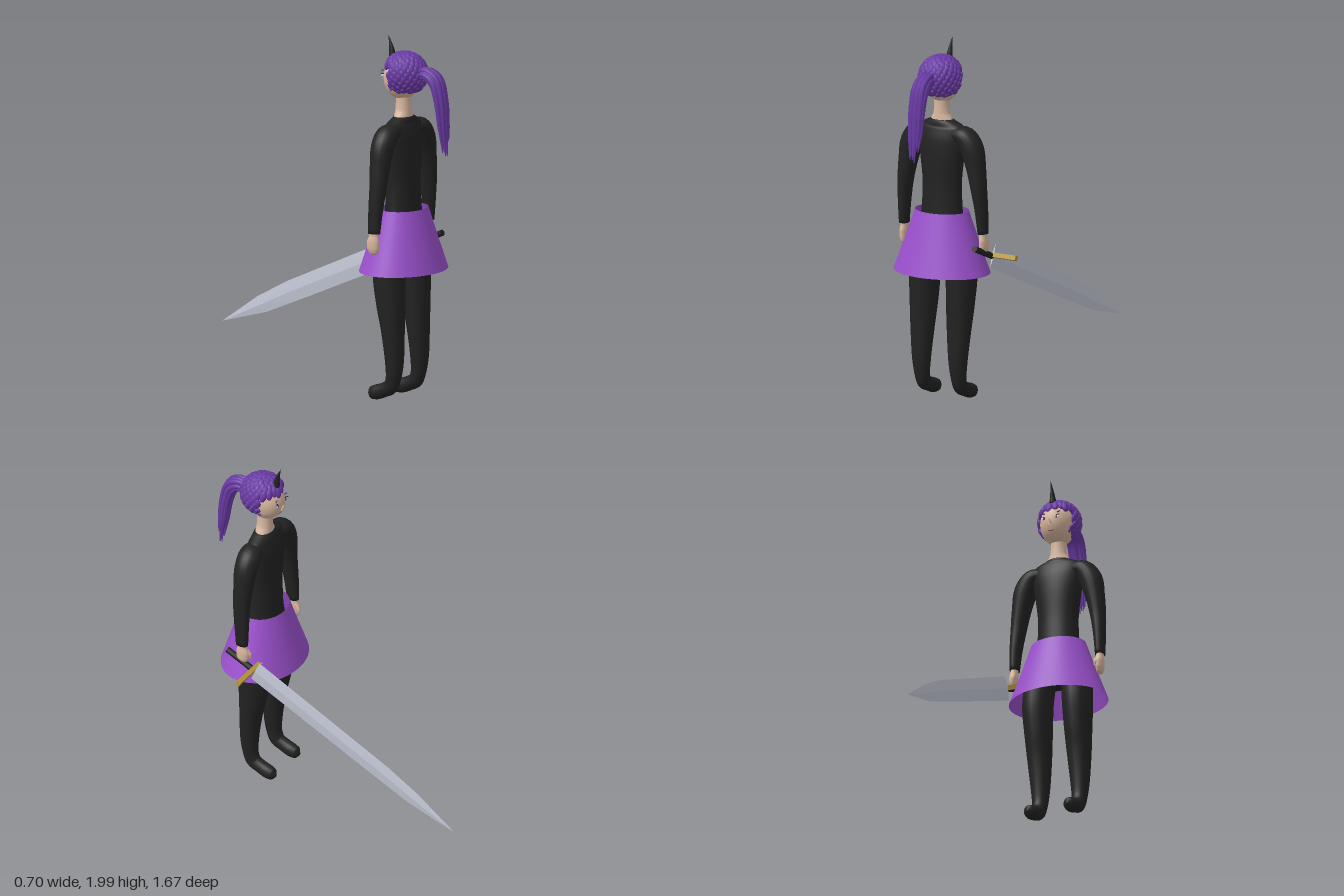
import * as THREE from 'three';
import { mergeGeometries } from 'three/addons/utils/BufferGeometryUtils.js';

const V = (x, y, z) => new THREE.Vector3(x, y, z);
const X = V(1, 0, 0), Z = V(0, 0, 1);

function material(name, color, side = THREE.FrontSide) {
  const m = new THREE.MeshStandardMaterial({ color, side });
  m.name = name;
  return m;
}

// Smooth closed sweep through sections [x, y, z, radius along axis, radius across]
function sweep(sections, axis, sides = 20, steps = 5) {
  const centre = new THREE.CatmullRomCurve3(sections.map(s => V(s[0], s[1], s[2])));
  const radii = new THREE.CatmullRomCurve3(sections.map(s => V(s[3], s[4], 0)));
  const n = (sections.length - 1) * steps;
  const pos = [], idx = [];
  for (let k = 0; k <= n; k++) {
    const p = centre.getPoint(k / n), r = radii.getPoint(k / n);
    const across = centre.getTangent(k / n).cross(axis).normalize();
    for (let j = 0; j < sides; j++) {
      const a = j / sides * Math.PI * 2;
      const q = p.clone().addScaledVector(axis, Math.cos(a) * r.x).addScaledVector(across, Math.sin(a) * r.y);
      pos.push(q.x, q.y, q.z);
    }
  }
  for (let k = 0; k < n; k++) for (let j = 0; j < sides; j++) {
    const j2 = (j + 1) % sides, a = k * sides, b = a + sides;
    idx.push(a + j, a + j2, b + j, a + j2, b + j2, b + j);
  }
  const c = (n + 1) * sides;
  pos.push(...centre.getPoint(0).toArray(), ...centre.getPoint(1).toArray());
  for (let j = 0; j < sides; j++) {
    const j2 = (j + 1) % sides;
    idx.push(c, j2, j, c + 1, n * sides + j, n * sides + j2);
  }
  const g = new THREE.BufferGeometry();
  g.setAttribute('position', new THREE.Float32BufferAttribute(pos, 3));
  g.setIndex(idx);
  g.computeVertexNormals();
  return g;
}

function ellipsoid(x, y, z, rx, ry, rz, w = 24, h = 16) {
  return new THREE.SphereGeometry(1, w, h).scale(rx, ry, rz).translate(x, y, z);
}

// Overlapping rounded locks covering the skull, leaving the face free
function hairLocks() {
  const parts = [ellipsoid(0, 1.81, 0.03, 0.1, 0.1, 0.1)];
  const count = 210;
  for (let i = 0; i < count; i++) {
    const ny = 1 - 2 * (i + 0.5) / count, r = Math.sqrt(1 - ny * ny), a = i * 2.39996;
    const n = V(r * Math.cos(a), ny, r * Math.sin(a));
    const p = V(n.x * 0.108, 1.8 + n.y * 0.108, 0.01 + n.z * 0.116);
    if (p.y < 1.705 || (p.z < -0.025 && p.y < 1.845)) continue;
    const down = V(0, -1, 0.15).addScaledVector(n, n.y - 0.15 * n.z).normalize();
    const side = down.clone().cross(n).normalize();
    const tilt = n.clone().addScaledVector(down, 0.25).normalize();
    const along = side.clone().cross(tilt);
    const m = new THREE.Matrix4().makeBasis(side, along, side.clone().cross(along)).setPosition(p);
    parts.push(ellipsoid(0, 0, 0, 0.02, 0.033, 0.014, 8, 6).applyMatrix4(m));
  }
  return mergeGeometries(parts);
}

// Bundle of tapering strands arching back and down
function ponytail() {
  const parts = [];
  for (let i = 0; i < 19; i++) {
    const a = i * 2.39996, r = Math.sqrt(i / 18);
    const dx = Math.cos(a) * r, d = Math.sin(a) * r, end = 1.37 + 0.09 * ((i * 7) % 19) / 19;
    parts.push(sweep([
      [dx * 0.03, 1.80 + d * 0.04, 0.10, 0.010, 0.010],
      [dx * 0.034, 1.81 + d * 0.034, 0.16, 0.015, 0.015],
      [dx * 0.037, 1.775 + d * 0.028, 0.212 + d * 0.022, 0.016, 0.016],
      [dx * 0.038, 1.67, 0.245 + d * 0.025, 0.015, 0.015],
      [dx * 0.036, 1.53, 0.262 + d * 0.019, 0.012, 0.011],
      [dx * 0.028, end, 0.277 + d * 0.012, 0.002, 0.002],
    ], X, 7, 4));
  }
  return mergeGeometries(parts);
}

// Diamond-section blade from its upper and lower edges, as [z, y]
function bladeGeometry(x, half) {
  const top = [[0.418, 0.873], [-0.407, 0.503], [-0.603, 0.397], [-0.836, 0.235]];
  const low = [[0.471, 0.751], [-0.339, 0.402], [-0.54, 0.318], [-0.836, 0.235]];
  const pos = [];
  const at = (e, i) => [x, e[i][1], e[i][0]];
  const tri = (flip, a, b, c) => pos.push(...a, ...(flip ? c : b), ...(flip ? b : c));
  for (const s of [1, -1]) {
    const ridge = i => [x + (i < 3 ? s * half : 0), (top[i][1] + low[i][1]) / 2, (top[i][0] + low[i][0]) / 2];
    const f = s < 0;
    for (let i = 0; i < 3; i++) {
      tri(f, at(top, i), ridge(i), ridge(i + 1));
      tri(f, at(low, i), ridge(i + 1), ridge(i));
      if (i < 2) {
        tri(f, at(top, i), ridge(i + 1), at(top, i + 1));
        tri(f, at(low, i), at(low, i + 1), ridge(i + 1));
      } 
    }
    // last facets reach the tip, the blunt end closes at the guard
    tri(f, at(top, 0), at(low, 0), ridge(0));
    for (const e of [top, low]) tri(f !== (e === low), at(e, 2), ridge(2), at(e, 3));
  }
  const g = new THREE.BufferGeometry();
  g.setAttribute('position', new THREE.Float32BufferAttribute(pos, 3));
  g.computeVertexNormals();
  return g;
}

export function createModel() {
  const skin = material('skin', 0xd9b8a0);
  const black = material('black cloth', 0x222222);
  const purple = material('skirt purple', 0x9a50cc, THREE.DoubleSide);
  const hair = material('hair purple', 0x6a3aa5);
  const steel = material('steel', 0xc3c8d6, THREE.DoubleSide);
  const gold = material('gold', 0xb8963e);
  const white = material('eye white', 0xeeeeee);
  const lip = material('lip', 0xa8685f);

  const root = new THREE.Group();
  root.name = 'swordFighter';
  const figure = new THREE.Group();
  figure.name = 'figure';
  figure.position.set(-0.07, 0, 0.55);
  root.add(figure);
  const add = (parent, name, geometry, mat) => {
    const m = new THREE.Mesh(geometry, mat);
    m.name = name;
    parent.add(m);
    return m;
  };

  // Body and skirt
  add(figure, 'torso', sweep([
    [0, 0.84, 0, 0.17, 0.1], [0, 0.95, 0, 0.145, 0.095], [0, 1.06, -0.002, 0.121, 0.086],
    [0, 1.2, -0.003, 0.115, 0.082], [0, 1.36, -0.003, 0.132, 0.084], [0, 1.46, -0.003, 0.148, 0.078],
    [0, 1.525, -0.002, 0.145, 0.062], [0, 1.55, 0, 0.1, 0.054], [0, 1.566, 0, 0.066, 0.048],
  ], X, 32), black);
  const skirt = new THREE.LatheGeometry([[0.28, 0.72], [0.216, 0.89], [0.155, 1.06]].map(p => new THREE.Vector2(...p)), 40);
  add(figure, 'skirt', skirt.scale(1, 1, 0.79), purple);

  // Limbs
  for (const s of [1, -1]) {
    const side = s > 0 ? 'right' : 'left';
    add(figure, side + 'Leg', sweep([
      [s * 0.105, 0.88, 0, 0.085, 0.09], [s * 0.118, 0.72, -0.012, 0.085, 0.092],
      [s * 0.118, 0.55, -0.002, 0.077, 0.082], [s * 0.118, 0.4, 0.012, 0.068, 0.063],
      [s * 0.118, 0.22, 0.022, 0.052, 0.05], [s * 0.118, 0.13, 0.014, 0.042, 0.042],
      [s * 0.118, 0.088, -0.004, 0.037, 0.043], [s * 0.118, 0.066, -0.045, 0.035, 0.04],
      [s * 0.118, 0.05, -0.09, 0.036, 0.041], [s * 0.118, 0.042, -0.128, 0.03, 0.035],
      [s * 0.118, 0.04, -0.148, 0.006, 0.007],
    ], X), black);
    add(figure, side + 'Arm', sweep([
      [s * 0.08, 1.49, 0, 0.05, 0.04], [s * 0.15, 1.482, -0.002, 0.064, 0.055],
      [s * 0.193, 1.42, -0.003, 0.064, 0.064], [s * 0.22, 1.31, -0.003, 0.056, 0.053],
      [s * 0.237, 1.2, -0.003, 0.049, 0.043], [s * 0.249, 1.08, -0.01, 0.043, 0.034],
      [s * 0.255, 0.952, -0.016, 0.036, 0.026],
    ], Z), black);
    add(figure, side + 'Hand', sweep([
      [s * 0.255, 0.975, -0.016, 0.024, 0.02], [s * 0.255, 0.94, -0.018, 0.027, 0.02],
      [s * 0.257, 0.905, -0.022, 0.038, 0.022], [s * 0.257, 0.872, -0.022, 0.037, 0.021],
      [s * 0.254, 0.846, -0.02, 0.028, 0.016], [s * 0.252, 0.835, -0.02, 0.008, 0.006],
    ], Z, 14), skin);
    add(figure, side + 'Thumb', sweep([
      [s * 0.25, 0.93, -0.035, 0.009, 0.01], [s * 0.245, 0.9, -0.058, 0.01, 0.01],
      [s * 0.243, 0.868, -0.062, 0.004, 0.004],
    ], Z, 8), skin);
  }

  // Head and face, looking towards -z
  add(figure, 'neck', sweep([
    [0, 1.54, 0, 0.075, 0.048], [0, 1.566, 0, 0.064, 0.046], [0, 1.6, 0, 0.047, 0.044],
    [0, 1.65, 0, 0.042, 0.043], [0, 1.73, 0, 0.043, 0.045],
  ], X), skin);
  add(figure, 'head', ellipsoid(0, 1.775, -0.01, 0.094, 0.118, 0.105, 32, 24), skin);
  const nose = new THREE.ConeGeometry(0.013, 0.042, 10).rotateX(-0.45);
  add(figure, 'nose', nose.translate(0, 1.757, -0.117), skin);
  const faceZ = (x, y) => -0.01 - 0.105 * Math.sqrt(1 - (x / 0.094) ** 2 - ((y - 1.775) / 0.118) ** 2);
  const onFace = (name, x, y, rx, ry, lift, mat, roll = 0) => {
    const m = add(figure, name, ellipsoid(0, 0, 0, rx, ry, 0.004, 14, 8), mat);
    m.position.set(x, y, faceZ(x, y) - lift);
    m.rotation.set(0, Math.atan2(x, 0.085), roll);
  };
  for (const s of [1, -1]) {
    onFace('eye', s * 0.038, 1.782, 0.018, 0.009, 0, white);
    onFace('iris', s * 0.037, 1.782, 0.007, 0.008, 0.002, hair);
    onFace('eyelid', s * 0.039, 1.792, 0.02, 0.003, 0.001, black);
    onFace('eyebrow', s * 0.04, 1.812, 0.022, 0.004, 0.001, hair, s * 0.12);
  }
  onFace('mouth', 0, 1.712, 0.02, 0.005, 0, lip);

  // Hair and horn
  add(figure, 'hairLocks', hairLocks(), hair);
  add(figure, 'ponytail', ponytail(), hair);
  add(figure, 'horn', sweep([
    [0, 1.88, -0.072, 0.02, 0.02], [0, 1.92, -0.078, 0.014, 0.015],
    [0, 1.96, -0.088, 0.007, 0.008], [0, 2.0, -0.102, 0.0005, 0.0005],
  ], X, 12), black);

  // Sword
  const sword = new THREE.Group();
  sword.name = 'sword';
  root.add(sword);
  add(sword, 'blade', bladeGeometry(0.19, 0.007), steel);
  const guard = add(sword, 'guard', new THREE.BoxGeometry(0.32, 0.026, 0.026), gold);
  guard.position.set(0.19, 0.82, 0.455);
  guard.rotation.x = -0.42;
  const grip = add(sword, 'grip', new THREE.CylinderGeometry(0.017, 0.017, 0.185, 14), black);
  grip.position.set(0.19, 0.85, 0.54);
  grip.rotation.x = Math.PI / 2 - 0.4;
  return root;
}
